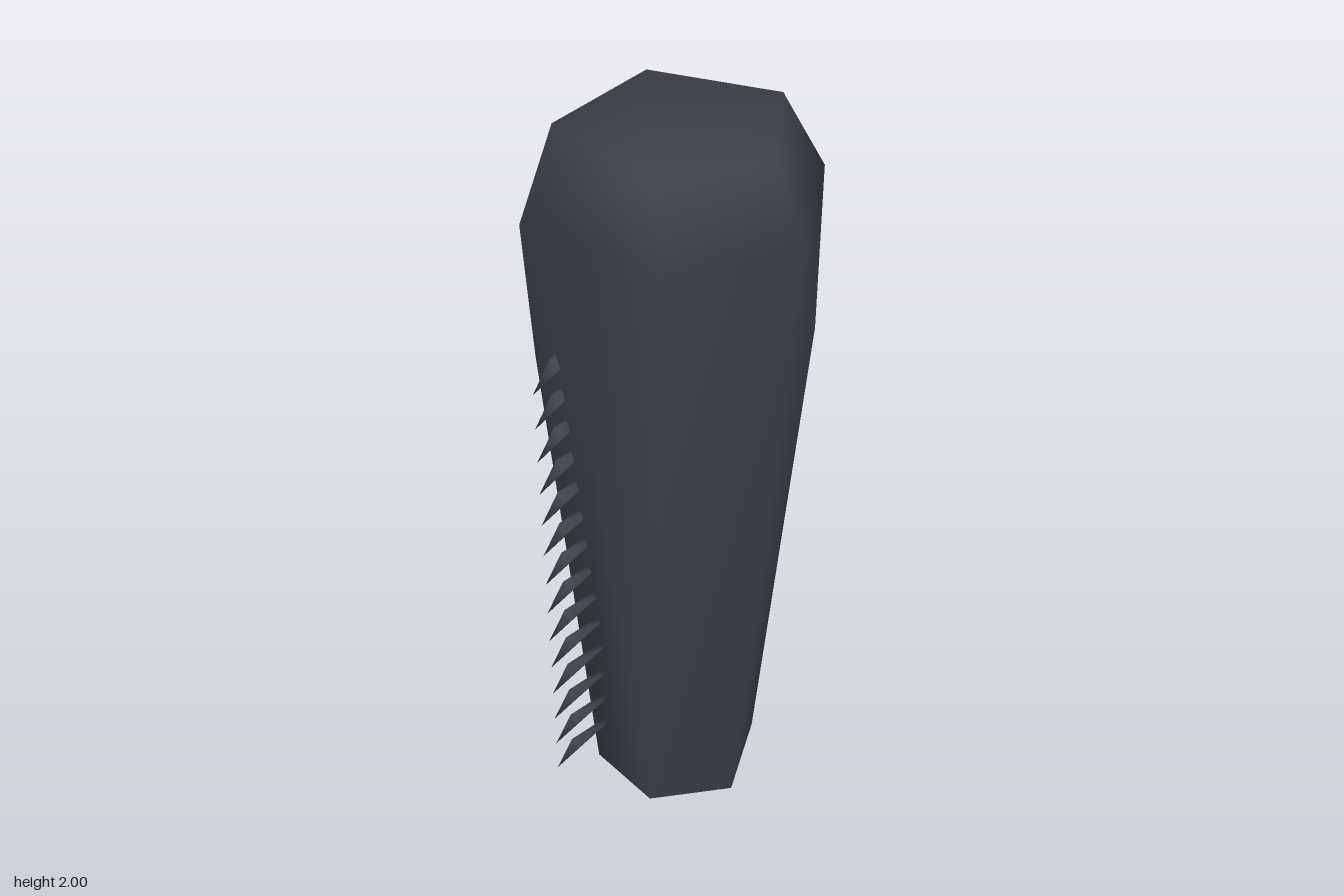
import * as THREE from 'three';
import { ConvexGeometry } from 'three/addons/geometries/ConvexGeometry.js';
import { mergeVertices } from 'three/addons/utils/BufferGeometryUtils.js';

// Smooth-shaded convex solid around a few corner points
function smoothHull(points) {
  let g = new ConvexGeometry(points);
  g.deleteAttribute('normal');
  g = mergeVertices(g, 1e-4);
  g.computeVertexNormals();
  return g;
}

// Half of a six-sided ring, completed by point symmetry about the body axis
function ring(y, half) {
  const cx = 0.009;
  return half.flatMap(([x, z]) => [
    new THREE.Vector3(cx + x, y, z),
    new THREE.Vector3(cx - x, y, -z),
  ]);
}

export function createModel() {
  const model = new THREE.Group();
  const darkSlate = new THREE.MeshStandardMaterial({ color: 0x3b3f47 });
  darkSlate.name = 'darkSlate';

  // Tapered six-sided body with twisted rings and a chamfered shoulder
  const top = [[0.06, -0.303], [0.3, -0.05], [0.12, 0.275], [-0.165, 0.25], [-0.255, -0.1]]
    .map(([x, z]) => new THREE.Vector3(x, 2, z));
  const body = new THREE.Mesh(smoothHull([
    ...ring(0, [[0.238, 0.035], [0.07, 0.243], [-0.165, 0.185]]),
    ...ring(1.42, [[0.343, 0.08], [0.05, 0.312], [-0.311, 0.196]]),
    ...ring(1.82, [[0.386, 0], [0.155, 0.34], [-0.175, 0.317]]),
    ...top,
  ]), darkSlate);
  body.name = 'body';
  model.add(body);

  // Row of thin, drooping spikes down one side
  const spikeGeometry = smoothHull([
    new THREE.Vector3(-0.4, 0, 0.09),
    new THREE.Vector3(-0.348, 0.082, 0.077),
    new THREE.Vector3(-0.25, 0.127, 0.08),
    new THREE.Vector3(-0.25, 0.115, 0.092),
    new THREE.Vector3(-0.335, 0.055, 0.092),
  ]);
  const spikes = new THREE.Group();
  spikes.name = 'spikes';
  const count = 14;
  for (let i = 0; i < count; i++) {
    const spike = new THREE.Mesh(spikeGeometry, darkSlate);
    spike.name = 'spike';
    spike.position.y = 0.145 + (1.278 * i) / (count - 1);
    spikes.add(spike);
  }
  model.add(spikes);
  return model;
}
